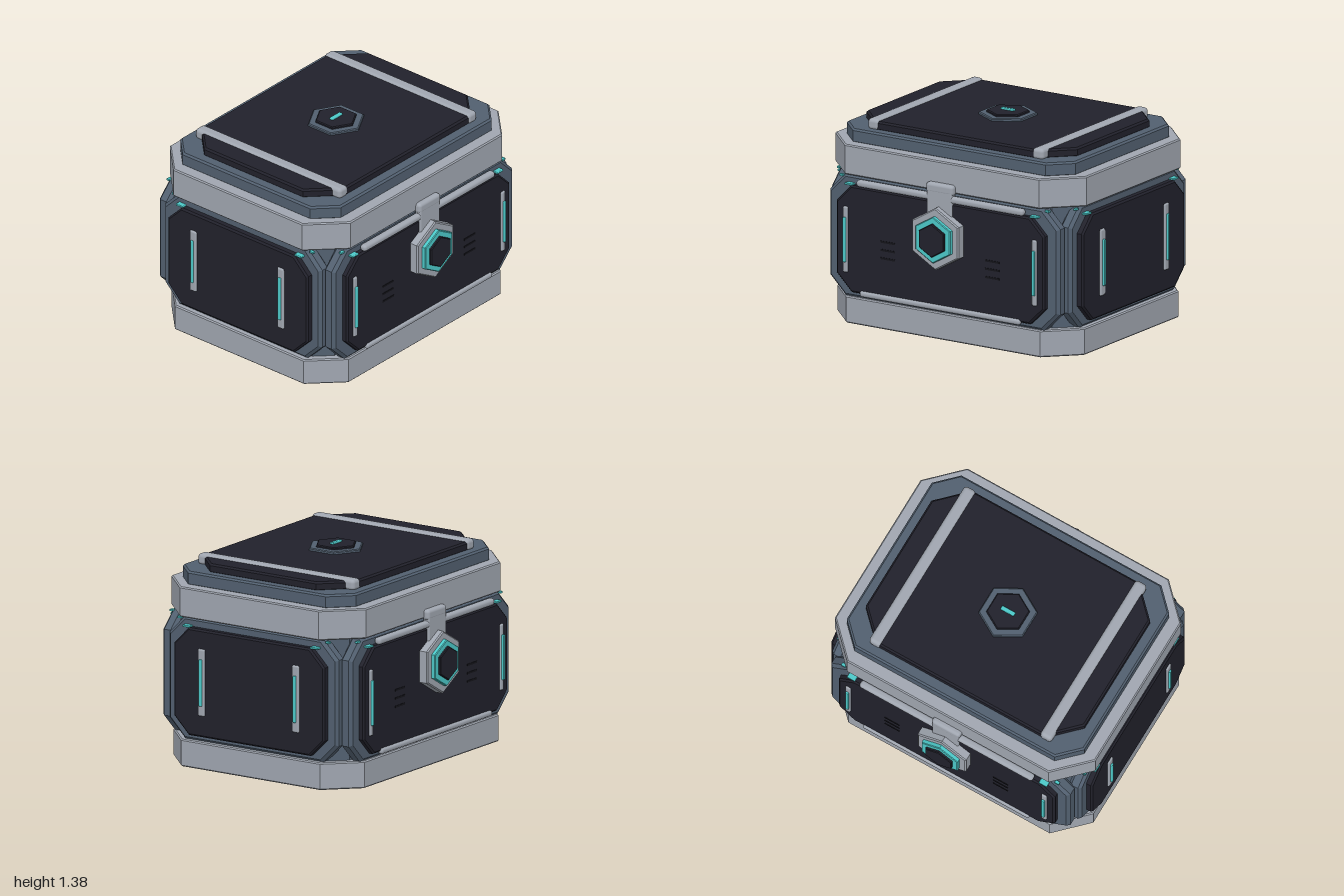
import * as THREE from 'three';
import { RoundedBoxGeometry } from 'three/addons/geometries/RoundedBoxGeometry.js';

const mat = (name, color) => {
  const m = new THREE.MeshStandardMaterial({ color });
  m.name = name;
  return m;
};

// Rectangle with cut corners
function octagon(hw, hh, c) {
  return new THREE.Shape([
    [hw, -hh + c], [hw, hh - c], [hw - c, hh], [-hw + c, hh],
    [-hw, hh - c], [-hw, -hh + c], [-hw + c, -hh], [hw - c, -hh],
  ].map(([x, y]) => new THREE.Vector2(x, y)));
}

// Hexagon with a point at the top
function hexagon(r) {
  const pts = [];
  for (let i = 0; i < 6; i++) {
    const a = Math.PI / 2 + (i * Math.PI) / 3;
    pts.push(new THREE.Vector2(Math.cos(a) * r, Math.sin(a) * r));
  }
  return new THREE.Shape(pts);
}

// Bevelled slab filling z0..z1
function slab(shape, z0, z1, bevel) {
  const g = new THREE.ExtrudeGeometry(shape, {
    depth: z1 - z0 - 2 * bevel, bevelEnabled: true, bevelThickness: bevel,
    bevelSize: bevel, bevelOffset: -bevel, bevelSegments: 1,
  });
  return g.translate(0, 0, z0 + bevel);
}

export function createModel() {
  const grey = mat('light grey metal', 0xa0a6b0);
  const slate = mat('slate metal', 0x526070);
  const dark = mat('dark panel', 0x21212b);
  const teal = mat('teal light', 0x4cc9c9);
  const black = mat('vent black', 0x14141a);

  const model = new THREE.Group();
  model.name = 'storageCrate';

  const add = (parent, name, geo, material) => {
    const m = new THREE.Mesh(geo, material);
    m.name = name;
    parent.add(m);
    return m;
  };
  const box = (parent, name, material, [w, h, d], [x, y, z], r = 0) => {
    const geo = r ? new RoundedBoxGeometry(w, h, d, 3, r) : new THREE.BoxGeometry(w, h, d);
    add(parent, name, geo, material).position.set(x, y, z);
  };
  // Horizontal slab filling y0..y1
  const layer = (name, material, shape, y0, y1, bevel) =>
    add(model, name, slab(shape, y0, y1, bevel).rotateX(-Math.PI / 2), material);

  // Stacked body and lid
  layer('base', grey, octagon(0.955, 0.75, 0.205), 0, 0.18, 0.008);
  layer('core', slate, octagon(0.88, 0.655, 0.1), 0.17, 1.01, 0.005);
  layer('lidRim', grey, octagon(0.97, 0.765, 0.22), 0.995, 1.195, 0.008);
  layer('lidStep', slate, octagon(0.885, 0.68, 0.14), 1.185, 1.28, 0.012);
  layer('lidPanel', dark, octagon(0.815, 0.607, 0.19), 1.27, 1.333, 0.012);
  for (const s of [-1, 1]) {
    box(model, 'lidStrip', grey, [0.085, 0.075, 1.23], [s * 0.637, 1.308, 0], 0.025);
  }

  // Lid emblem plate
  layer('lidHexFrame', slate, hexagon(0.19), 1.325, 1.35, 0.006);
  layer('lidHexCore', dark, hexagon(0.14), 1.34, 1.365, 0.006);
  box(model, 'lidLight', teal, [0.1, 0.02, 0.028], [0, 1.367, 0], 0.006);

  // One wall, built facing +z: slate frame, dark panel and corner lights
  function wall(name, frameHalf, panelHalf, front, out) {
    const g = new THREE.Group();
    g.name = name;
    add(g, 'frame', slab(octagon(frameHalf, 0.41, 0.125), front - 0.09, front, 0.02), slate)
      .position.y = 0.585;
    add(g, 'panel', slab(octagon(panelHalf, 0.357, 0.115), front - 0.02, out, 0.012), dark)
      .position.y = 0.577;
    for (const s of [-1, 1]) {
      box(g, 'cornerLight', teal, [0.06, 0.014, 0.04],
        [s * (panelHalf - 0.09), 0.937, front + 0.015], 0.005);
      box(g, 'edgeLight', teal, [0.03, 0.012, 0.02], [s * (panelHalf - 0.01), 0.978, front - 0.015]);
    }
    model.add(g);
    return g;
  }

  // Vertical lamp in a grey housing
  function lamp(g, x, y, w, h, lightH, z) {
    box(g, 'lampHousing', grey, [w, h, 0.03], [x, y, z], 0.012);
    box(g, 'lampLight', teal, [0.022, lightH, 0.03], [x, y, z + 0.012], 0.006);
  }

  // Front and back walls with latch
  for (const turn of [0, Math.PI]) {
    const g = wall(turn ? 'backWall' : 'frontWall', 0.89, 0.805, 0.745, 0.785);
    g.rotation.y = turn;
    for (const s of [-1, 1]) {
      lamp(g, s * 0.73, 0.57, 0.038, 0.44, 0.3, 0.782);
      for (const y of [0.595, 0.54, 0.485]) {
        box(g, 'vent', black, [0.11, 0.013, 0.006], [s * 0.403, y, 0.785]);
      }
    }
    box(g, 'upperBar', grey, [1.29, 0.046, 0.05], [0, 0.957, 0.775], 0.02);
    box(g, 'lowerBar', grey, [1.24, 0.04, 0.04], [0, 0.223, 0.779], 0.018);
    box(g, 'latchHook', grey, [0.21, 0.07, 0.06], [0, 1.018, 0.772], 0.022);
    box(g, 'latchTab', grey, [0.195, 0.2, 0.05], [0, 0.93, 0.776], 0.012);
    const latch = new THREE.Group();
    latch.name = 'latch';
    latch.position.y = 0.695;
    add(latch, 'latchPlate', slab(hexagon(0.208), 0.77, 0.845, 0.008), grey);
    add(latch, 'latchLight', slab(hexagon(0.155), 0.83, 0.873, 0.005), teal);
    add(latch, 'latchButton', slab(hexagon(0.112), 0.86, 0.89, 0.005), dark);
    g.add(latch);
  }

  // Side walls
  for (const s of [-1, 1]) {
    const g = wall(s > 0 ? 'leftWall' : 'rightWall', 0.665, 0.592, 0.93, 0.975);
    g.rotation.y = (s * Math.PI) / 2;
    for (const t of [-1, 1]) lamp(g, t * 0.37, 0.585, 0.055, 0.445, 0.31, 0.972);
  }

  return model;
}
